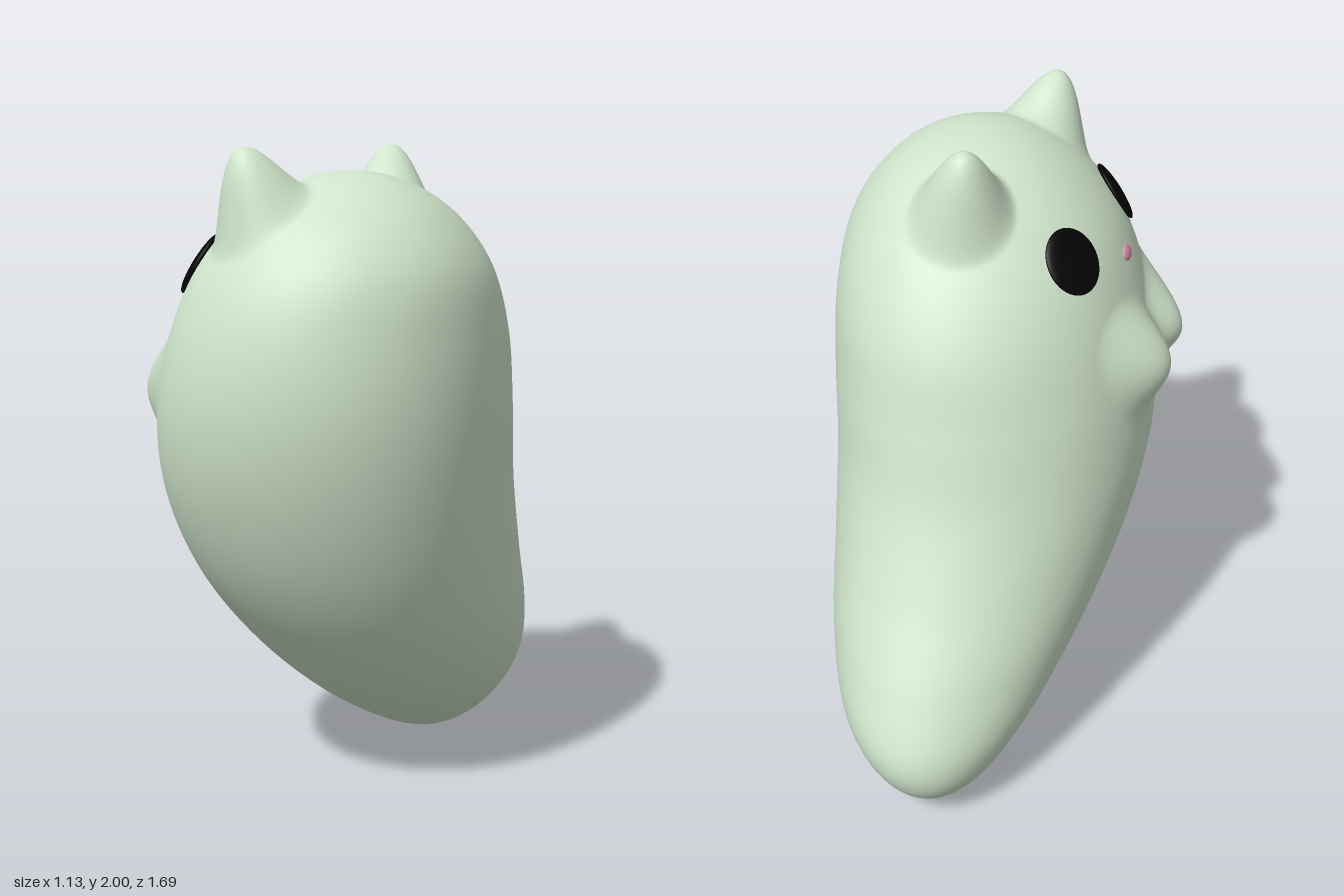
import * as THREE from 'three';

const V = (x, y, z) => new THREE.Vector3(x, y, z);

// Horizontal slices of the body, closer together toward the poles: y, min x, max x, min z, max z
const SLICES = [
  [0, -0.045, -0.045, -0.45, -0.45],
  [0.033, -0.175, 0.1, -0.67, -0.215],
  [0.129, -0.28, 0.23, -0.805, 0.015],
  [0.281, -0.37, 0.35, -0.845, 0.265],
  [0.48, -0.44, 0.44, -0.757, 0.492],
  [0.711, -0.49, 0.497, -0.615, 0.675],
  [0.96, -0.51, 0.535, -0.493, 0.793],
  [1.209, -0.487, 0.557, -0.422, 0.845],
  [1.44, -0.425, 0.553, -0.355, 0.828],
  [1.639, -0.335, 0.518, -0.24, 0.757],
  [1.791, -0.2, 0.415, -0.1, 0.635],
  [1.887, -0.045, 0.275, 0.08, 0.467],
  [1.92, 0.12, 0.12, 0.28, 0.28],
];

// Ears and paws are pulled out of the body toward a tip along a direction
const BUMPS = [
  { tip: V(0, 2.0, -0.105), dir: V(-0.13, 0.93, -0.2), r: 0.168 },  // right ear
  { tip: V(0, 1.985, 0.65), dir: V(-0.1, 0.95, 0.27), r: 0.168 },   // left ear
  { tip: V(-0.56, 1.23, 0.225), dir: V(-0.9, -0.25, 0.33), r: 0.2 }, // right paw
  { tip: V(-0.52, 1.23, 0.43), dir: V(-0.92, -0.25, -0.3), r: 0.19 }, // left paw
];
BUMPS.forEach((b) => b.dir.normalize());

function pullBumps(p) {
  for (const { tip, dir, r } of BUMPS) {
    const toTip = tip.clone().sub(p);
    const depth = toTip.dot(dir);
    if (depth < 0 || depth > 0.5) continue;
    const t = toTip.addScaledVector(dir, -depth).length() / r;
    if (t < 1) p.addScaledVector(dir, depth * (1 - t * t) ** 2);
  }
  return p;
}

function bodyGeometry(rows = 220, cols = 240) {
  // Mirrored slices beyond both poles keep the ends round
  const flip = ([y, x0, x1, z0, z1]) => [y, x1, x0, z1, z0];
  const n = SLICES.length;
  const all = [flip(SLICES[1]), ...SLICES, flip(SLICES[n - 2])];
  const xs = new THREE.CatmullRomCurve3(all.map((s) => V(s[1], s[0], s[2])), false, 'catmullrom');
  const zs = new THREE.CatmullRomCurve3(all.map((s) => V(s[3], s[0], s[4])), false, 'catmullrom');
  const positions = [], index = [];
  for (let i = 0; i <= rows; i++) {
    const t = (1 + (i / rows) * (n - 1)) / (n + 1);
    const a = xs.getPoint(t), b = zs.getPoint(t);
    const skew = 0.3 * Math.exp(-2 * a.y) - 0.02; // tail swings to one side
    // Slices are fuller in front, mostly on the +x side
    const ramp = THREE.MathUtils.smoothstep(a.y, 0, 0.6);
    const egg = ramp * (0.12 - 0.055 * a.y), lean = ramp * (0.04 + 0.03 * a.y);
    for (let j = 0; j < cols; j++) {
      const angle = (j / cols) * Math.PI * 2;
      const sin = Math.sin(angle), cos = Math.cos(angle);
      const dz = sin * (b.z - b.x) / 2;
      const dx = cos * (1 + sin * (egg + lean * cos)) * (a.z - a.x) / 2;
      const p = V((a.x + a.z) / 2 + dx + skew * dz, a.y, (b.x + b.z) / 2 + dz);
      positions.push(...pullBumps(p).toArray());
      if (i === rows) continue;
      const k = (j + 1) % cols, r = i * cols, q = r + cols;
      index.push(r + j, q + j, r + k, r + k, q + j, q + k);
    }
  }
  const g = new THREE.BufferGeometry();
  g.setAttribute('position', new THREE.Float32BufferAttribute(positions, 3));
  g.setIndex(index);
  g.computeVertexNormals();
  return g;
}

// Flattened button laid on the body at the surface point nearest to target
function button(name, geometry, target, width, height, depth, color) {
  const pos = geometry.attributes.position, nor = geometry.attributes.normal;
  const p = V(0, 0, 0);
  let best = Infinity, at = 0;
  for (let i = 0; i < pos.count; i++) {
    const d = p.fromBufferAttribute(pos, i).distanceToSquared(target);
    if (d < best) { best = d; at = i; }
  }
  const mesh = new THREE.Mesh(
    new THREE.SphereGeometry(1, 40, 24),
    new THREE.MeshStandardMaterial({ color })
  );
  mesh.name = name;
  mesh.scale.set(width, height, depth);
  mesh.position.fromBufferAttribute(pos, at);
  mesh.lookAt(V(0, 0, 0).fromBufferAttribute(nor, at).add(mesh.position));
  return mesh;
}

export function createModel() {
  const group = new THREE.Group();
  group.name = 'beanCreature';

  const geometry = bodyGeometry();
  const body = new THREE.Mesh(geometry, new THREE.MeshStandardMaterial({ color: 0xd0e5cb }));
  body.name = 'body';
  group.add(body);

  // Face
  group.add(button('leftEye', geometry, V(-0.23, 1.64, 0.54), 0.098, 0.104, 0.02, 0x050505));
  group.add(button('rightEye', geometry, V(-0.3, 1.65, 0.035), 0.098, 0.104, 0.02, 0x050505));
  group.add(button('nose', geometry, V(-0.365, 1.57, 0.305), 0.038, 0.024, 0.011, 0xd98fa5));
  return group;
}
